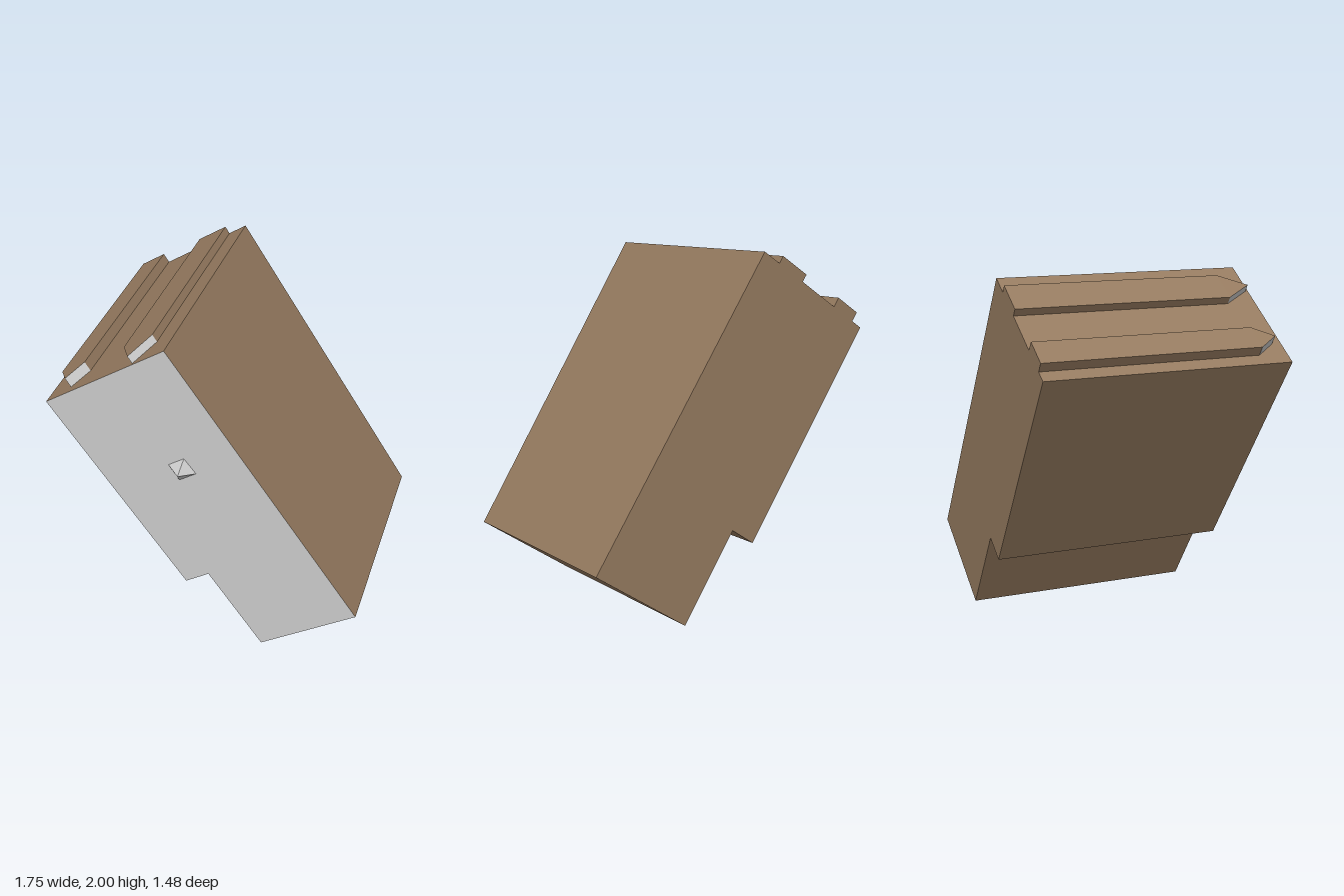
import * as THREE from 'three';

const BACK = -0.74;
const grey = new THREE.MeshStandardMaterial({ color: 0xcccccc, flatShading: true });
const brown = new THREE.MeshStandardMaterial({ color: 0x957a5f, flatShading: true });

const shapeOf = (pts) => new THREE.Shape(pts.map(([x, y]) => new THREE.Vector2(x, y)));
const prism = (pts, depth) => new THREE.ExtrudeGeometry(shapeOf(pts), { depth, bevelEnabled: false });

function add(parent, name, geometry, material) {
  const mesh = new THREE.Mesh(geometry, material);
  mesh.name = name;
  parent.add(mesh);
  return mesh;
}

export function createModel() {
  const model = new THREE.Group();
  model.name = 'tiltedBlock';

  // Tilted block with a notched foot; its front face leans back towards the bottom
  const topEdge = new THREE.Vector2(-0.873, 1.553);
  const outline = [[-0.873, 1.553], [-0.128, 0.397], [0.008, 0.487], [0.32, 0], [0.872, 0.362], [-0.187, 2]];
  const down = new THREE.Vector2(0.543, -0.84);
  const body = prism(outline, 1);
  const p = body.attributes.position;
  for (let i = 0; i < p.count; i++) {
    const along = new THREE.Vector2(p.getX(i), p.getY(i)).sub(topEdge).dot(down);
    p.setZ(i, p.getZ(i) > 0.5 ? 0.702 - 0.0466 * along : BACK);
  }
  body.computeVertexNormals();
  // Back cap, front cap, then the side walls
  body.clearGroups();
  body.addGroup(0, 12, 0);
  body.addGroup(12, 12, 1);
  body.addGroup(24, p.count - 24, 0);
  add(model, 'body', body, [brown, grey]);

  // Pointed rails lying on the sloping top: local x = depth, y = across, z = outward
  const rails = new THREE.Group();
  rails.name = 'topRails';
  rails.matrixAutoUpdate = false;
  rails.matrix.makeBasis(
    new THREE.Vector3(0, 0, 1),
    new THREE.Vector3(0.838, 0.546, 0),
    new THREE.Vector3(-0.546, 0.838, 0)
  ).setPosition(topEdge.x, topEdge.y, 0);
  rails.matrix.decompose(rails.position, rails.quaternion, rails.scale);
  rails.matrixAutoUpdate = true;
  model.add(rails);
  for (const [name, a, b, height, tip] of [
    ['outerRail', 0.072, 0.235, 0.058, 0.647],
    ['innerRail', 0.505, 0.7, 0.046, 0.687],
  ]) {
    const shoulder = 0.53;
    add(rails, name, prism([[BACK, a], [shoulder, a], [shoulder, b], [BACK, b]], height), brown);
    add(rails, name + 'Tip', prism([[shoulder, a], [tip, (a + b) / 2], [shoulder, b]], height), [brown, grey]);
  }

  // Small four-sided stud on the front face
  const stud = new THREE.ConeGeometry(0.084, 0.076, 4).rotateX(Math.PI / 2).rotateZ(-0.2);
  add(model, 'frontStud', stud, grey).position.set(-0.122, 1.24, 0.704);

  return model;
}
